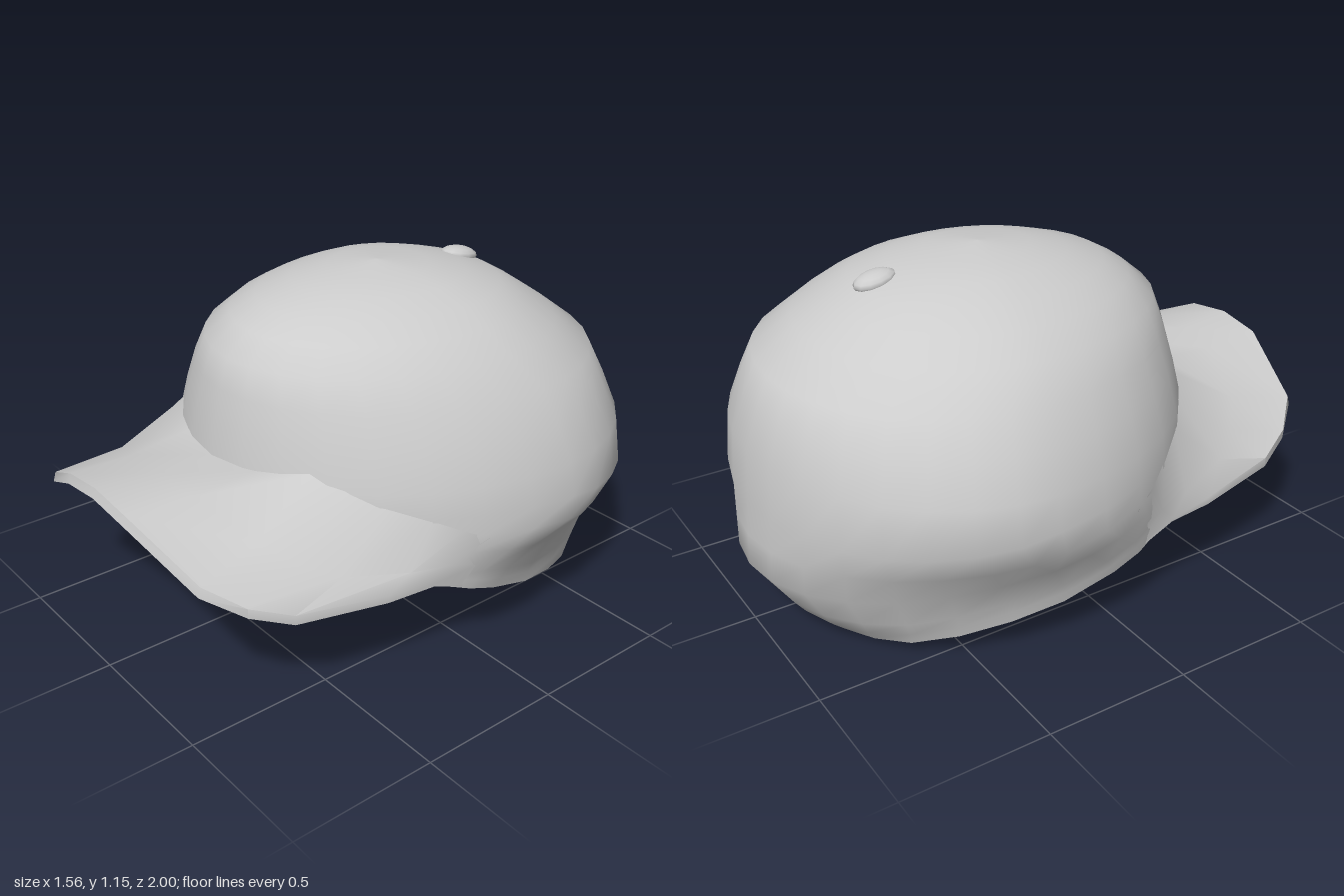
import * as THREE from 'three';
import { toCreasedNormals } from 'three/addons/utils/BufferGeometryUtils.js';

const cloth = new THREE.MeshStandardMaterial({ color: 0xcccccc, side: THREE.DoubleSide });
cloth.name = 'light grey cloth';

// Surface through rows of points; each row has the same number of points
function gridGeometry(rows, closed) {
  const n = rows[0].length, index = [];
  for (let i = 0; i < rows.length - 1; i++) {
    for (let j = 0; j < (closed ? n : n - 1); j++) {
      const k = (j + 1) % n;
      const a = i * n + j, b = i * n + k, c = (i + 1) * n + k, d = (i + 1) * n + j;
      index.push(a, b, c, a, c, d);
    }
  }
  const g = new THREE.BufferGeometry();
  g.setAttribute('position', new THREE.Float32BufferAttribute(rows.flat(2), 3));
  g.setIndex(index);
  g.computeVertexNormals();
  return g;
}

// Linear lookup of column c in a table sorted by its first column
function lookup(table, v, c) {
  if (v <= table[0][0]) return table[0][c];
  for (let i = 1; i < table.length; i++) {
    const p = table[i - 1], q = table[i];
    if (v <= q[0]) return p[c] + (q[c] - p[c]) * (v - p[0]) / (q[0] - p[0]);
  }
  return table[table.length - 1][c];
}

// Crown sections: height, front z, back z, half width, where the widest point lies (0 back, 1 front)
const SECTIONS = [
  [0, 0.58, -0.82, 0.60, 0.45], [0.05, 0.58, -0.885, 0.65, 0.52], [0.1, 0.58, -0.925, 0.675, 0.58],
  [0.21, 0.58, -1, 0.69, 0.61], [0.32, 0.58, -0.995, 0.72, 0.56], [0.44, 0.58, -0.985, 0.785, 0.43],
  [0.62, 0.57, -0.972, 0.755, 0.43], [0.74, 0.55, -0.93, 0.70, 0.43], [0.85, 0.525, -0.885, 0.64, 0.43],
  [0.95, 0.495, -0.75, 0.55, 0.43], [1.02, 0.41, -0.645, 0.46, 0.43], [1.07, 0.32, -0.56, 0.37, 0.43],
  [1.11, 0.19, -0.43, 0.27, 0.43], [1.135, 0.06, -0.3, 0.17, 0.43], [1.15, -0.119, -0.121, 0.001, 0.43],
];
// Rim line: z, height
const RIM = [[-0.82, 0], [-0.6, 0.06], [-0.5, 0.1], [-0.2, 0.17], [0, 0.24], [0.22, 0.32]];

const ANGLES = Array.from({ length: 32 }, (_, i) => (i / 32) * Math.PI * 2);

function crownPoint(a, y) {
  const [zf, zb, w, k] = [1, 2, 3, 4].map((c) => lookup(SECTIONS, y, c));
  const zc = zb + k * (zf - zb), s = Math.cos(a);
  return [w * Math.sin(a), y, zc + s * (s > 0 ? zf - zc : zc - zb)];
}

// Height where the crown wall meets the rim line
function rimHeight(a) {
  let y = 0.2;
  for (let k = 0; k < 40; k++) y = (y + lookup(RIM, crownPoint(a, y)[2], 1)) / 2;
  return y;
}

function crownGeometry() {
  const knee = 0.62;
  // the front wall ends inside the brim
  const rims = ANGLES.map((a) => rimHeight(a) + Math.max(0, Math.cos(a) - 0.6) * 0.5);
  const rows = SECTIONS.map(([h]) => ANGLES.map((a, i) =>
    crownPoint(a, h < knee ? rims[i] + (h / knee) * (knee - rims[i]) : h)));
  return gridGeometry(rows, true);
}

// Shallow hollow above the opening, whose front edge lies behind the brim
function liningGeometry() {
  const rim = ANGLES.map((a) => {
    const [x, y, z] = crownPoint(a, rimHeight(a));
    const f = Math.max(0, z - 0.2);
    return [x, y - 0.05 * f, z - 0.58 * f];
  });
  const centre = [0, 0.16, -0.25];
  const rings = [[1, 0], [0.82, 0.09], [0.62, 0.16], [0.32, 0.22], [0.001, 0.24]];
  return gridGeometry(rings.map(([s, lift]) => rim.map((p) =>
    p.map((v, c) => centre[c] + (v - centre[c]) * s + (c === 1 ? lift : 0)))), true);
}

// Mirror a half row (centre first) into a full row from right to left
const fullRow = (half) => [
  ...half.slice(1).reverse().map(([x, y, z]) => [-x, y, z]), ...half];

function brimGeometry() {
  // where the brim flows into the crown
  const inner = [[0, 0.63, 0.56], [0.19, 0.64, 0.53], [0.36, 0.67, 0.445], [0.46, 0.63, 0.375],
    [0.55, 0.58, 0.295], [0.64, 0.53, 0.18], [0.69, 0.49, 0.1], [0.725, 0.45, 0.015]];
  const edge = [[0, 0.655, 0.99], [0.17, 0.632, 0.985], [0.45, 0.495, 0.91], [0.54, 0.425, 0.81],
    [0.595, 0.375, 0.68], [0.655, 0.345, 0.37], [0.675, 0.33, 0.2], [0.685, 0.275, 0.05]];
  const lip = edge.map(([x, y, z], i) =>
    [x, y - (i < 5 ? 0.033 : i < 6 ? 0.025 : 0.01), z + (i < 3 ? 0.01 : 0)]);
  // rear edge of the underside, then a small step down to the opening
  const xs = [0, 0.13, 0.34, 0.44, 0.53, 0.61, 0.655];
  const back = [...xs.map((x) => [x, 0.33 - 0.02 * x * x, 0.4 - 0.45 * x * x]), [0.68, 0.262, 0.05]];
  const band = [...xs.map((x) => [x, 0.3 + 0.04 * x * x, 0.36 - 0.37 * x * x]), [0.675, 0.26, 0.05]];
  // dished middle of the top surface, deeper along the sides
  const dish = [0.008, 0.015, 0.05, 0.06, 0.06, 0.05, 0.03, 0.01];
  const middle = inner.map((p, i) => p.map((v, c) =>
    (v + edge[i][c]) / 2 - (c === 1 ? dish[i] : 0)));
  const rows = [inner, middle, edge, lip, back, band].map(fullRow).reverse();
  return toCreasedNormals(gridGeometry(rows, false), 0.8);
}

export function createModel() {
  const cap = new THREE.Group();
  cap.name = 'cap';
  const add = (name, geometry) => {
    const m = new THREE.Mesh(geometry, cloth);
    m.name = name;
    cap.add(m);
    return m;
  };
  add('crown', crownGeometry());
  add('lining', liningGeometry());
  add('brim', brimGeometry());
  // Small button on the slope behind the top
  const button = add('button', new THREE.SphereGeometry(1, 12, 8));
  button.scale.set(0.055, 0.03, 0.075);
  button.position.set(0, 1.088, -0.5);
  button.rotation.x = -0.2;
  return cap;
}
